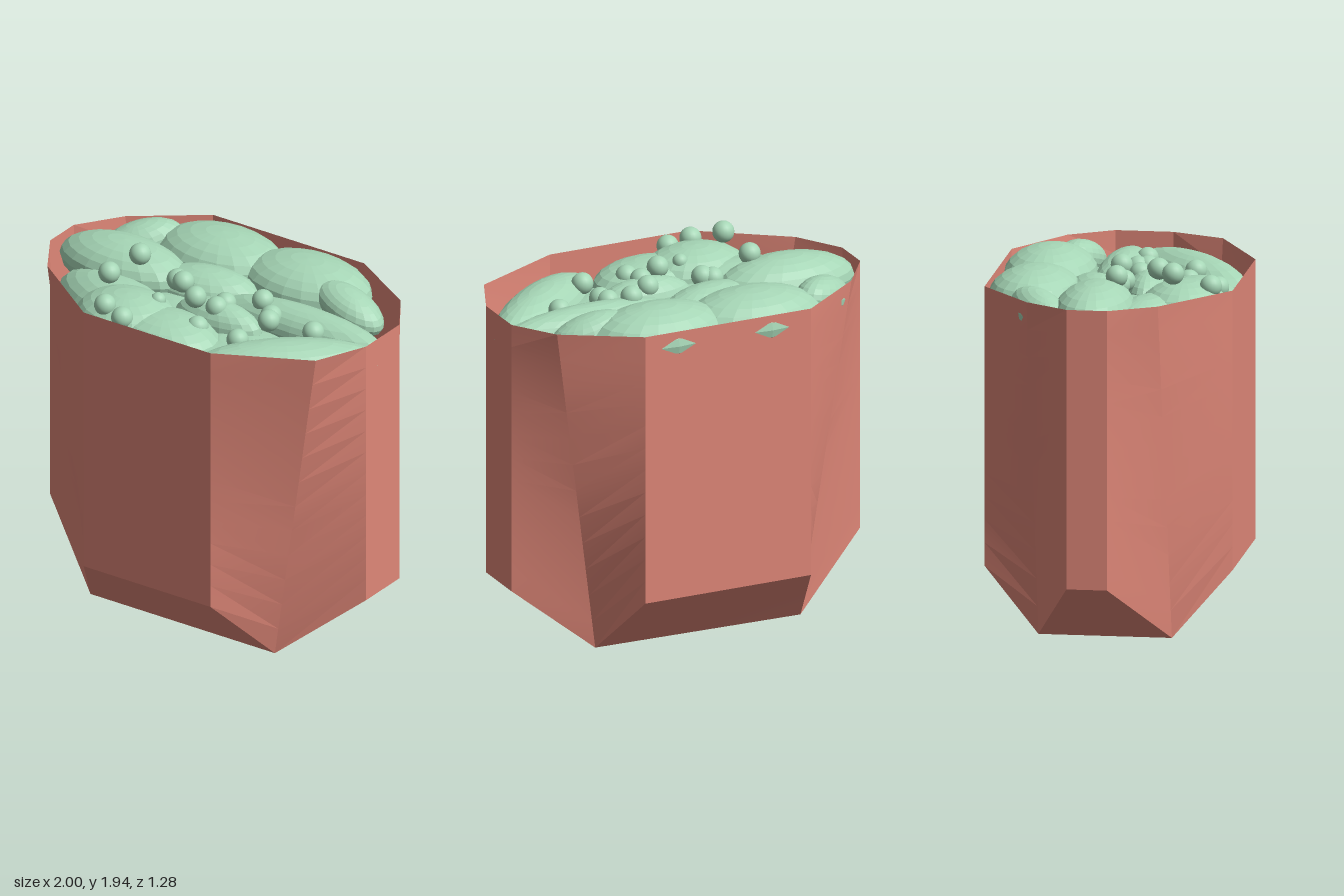
import * as THREE from 'three';
import { toCreasedNormals } from 'three/addons/utils/BufferGeometryUtils.js';

const potMaterial = new THREE.MeshStandardMaterial({ color: 0xdf8778, side: THREE.DoubleSide });
const plantMaterial = new THREE.MeshStandardMaterial({ color: 0xa6d6b6, flatShading: true });
const berryMaterial = new THREE.MeshStandardMaterial({ color: 0xa6d6b6 });

const RIM_Y = 1.79, SHOULDER_Y = 0.33, ROWS = 12;

// Open pot: four upright panels; at each corner two twisted patches meet in a ridge from foot to rim
function makePot() {
  const rim = [
    [-0.4, 0.64], [0.39, 0.64], [0.88, 0.4], [1, 0.125], [1, -0.175], [0.85, -0.4],
    [0.46, -0.63], [-0.48, -0.63], [-0.84, -0.36], [-1, -0.13], [-1, 0.08], [-0.85, 0.32],
  ];
  const feet = [[0.59, 0.35], [0.59, -0.31], [-0.56, -0.34], [-0.56, 0.35]]
    .map(([x, z]) => [x, 0, z]);
  const at = (i, y) => [rim[i % 12][0], y, rim[i % 12][1]];
  const mix = (a, b, t) => a.map((v, j) => v + (b[j] - v) * t);
  const pos = [];
  const quad = (a, b, c, d) => pos.push(...a, ...b, ...c, ...a, ...c, ...d);

  // Ruled surface between a left and a right edge, each given bottom to top
  const patch = (left0, left1, right0, right1) => {
    for (let r = 0; r < ROWS; r++) {
      const s = r / ROWS, t = (r + 1) / ROWS;
      quad(mix(left0, left1, s), mix(right0, right1, s), mix(right0, right1, t), mix(left0, left1, t));
    }
  };

  for (let i = 0; i < 4; i++) {
    const k = 3 * i, foot = feet[i], before = feet[(i + 3) % 4];
    const lowA = at(k, SHOULDER_Y), lowB = at(k + 1, SHOULDER_Y), lowD = at(k + 3, SHOULDER_Y);
    const A = at(k, RIM_Y), B = at(k + 1, RIM_Y), C = at(k + 2, RIM_Y), D = at(k + 3, RIM_Y);
    quad(lowA, lowB, B, A);           // panel
    quad(before, foot, lowB, lowA);   // sloping skirt
    patch(lowB, B, foot, C);          // corner halves
    patch(foot, C, lowD, D);
  }
  quad(feet[3], feet[2], feet[1], feet[0]); // floor

  const geometry = new THREE.BufferGeometry();
  geometry.setAttribute('position', new THREE.Float32BufferAttribute(pos, 3));
  const mesh = new THREE.Mesh(toCreasedNormals(geometry, 0.15), potMaterial);
  mesh.name = 'pot';
  return mesh;
}

// Plump leaves: x, y, z, radius x, radius y, radius z, turn and tilt in degrees
const LEAVES = [
  [-0.26, 1.71, -0.4, 0.37, 0.15, 0.24, 0],
  [0.27, 1.71, -0.4, 0.37, 0.15, 0.24, 0],
  [-0.62, 1.71, -0.04, 0.38, 0.15, 0.205, 0],
  [-0.7, 1.71, -0.31, 0.22, 0.11, 0.12, 40, 15],
  [0.61, 1.72, -0.29, 0.22, 0.1, 0.12, -8, -15],
  [-0.49, 1.62, 0.22, 0.4, 0.15, 0.2, -16],
  [-0.31, 1.68, 0.38, 0.28, 0.14, 0.23, 0],
  [-0.06, 1.65, 0.4, 0.31, 0.13, 0.22, 0],
  [0.09, 1.67, 0.14, 0.26, 0.12, 0.115, 0],
  [-0.16, 1.67, -0.11, 0.3, 0.13, 0.16, 12],
  [0.48, 1.66, -0.06, 0.52, 0.12, 0.13, 0],
  [0.61, 1.64, 0.28, 0.49, 0.13, 0.17, 40],
  // lower layer filling the gaps
  [0.28, 1.58, 0.25, 0.34, 0.1, 0.27, 20],
  [-0.2, 1.59, 0.12, 0.32, 0.11, 0.2, 0],
  [0.45, 1.6, -0.15, 0.36, 0.1, 0.16, 0],
];

// Round berries: x, y, z, optional radius
const BERRIES = [
  [-0.46, 1.86, 0.05], [-0.24, 1.77, 0.03], [-0.19, 1.78, 0.05], [0.25, 1.77, -0.03],
  [0.35, 1.74, 0.04], [0.37, 1.74, 0.09], [0.62, 1.73, 0.05], [0.1, 1.76, 0.09],
  [0.1, 1.77, 0.17], [-0.01, 1.81, 0.2], [-0.45, 1.88, 0.34], [-0.18, 1.78, 0.29, 0.04],
  [0.1, 1.73, 0.34], [0.35, 1.73, 0.34], [-0.35, 1.8, 0.52], [-0.23, 1.77, 0.54],
];

export function createModel() {
  const model = new THREE.Group();
  model.name = 'pottedPlant';
  model.add(makePot());

  const leaves = new THREE.Group();
  leaves.name = 'leaves';
  const leafGeometry = new THREE.SphereGeometry(1, 20, 12);
  for (const [x, y, z, rx, ry, rz, turn, tilt = 0] of LEAVES) {
    const leaf = new THREE.Mesh(leafGeometry, plantMaterial);
    leaf.name = 'leaf';
    leaf.position.set(x, y, z);
    leaf.scale.set(rx, ry, rz);
    leaf.rotation.set(0, THREE.MathUtils.degToRad(turn), THREE.MathUtils.degToRad(tilt));
    leaves.add(leaf);
  }

  const berries = new THREE.Group();
  berries.name = 'berries';
  const berryGeometry = new THREE.SphereGeometry(1, 20, 14);
  for (const [x, y, z, r = 0.057] of BERRIES) {
    const berry = new THREE.Mesh(berryGeometry, berryMaterial);
    berry.name = 'berry';
    berry.position.set(x, y, z);
    berry.scale.setScalar(r);
    berries.add(berry);
  }

  model.add(leaves, berries);
  return model;
}
